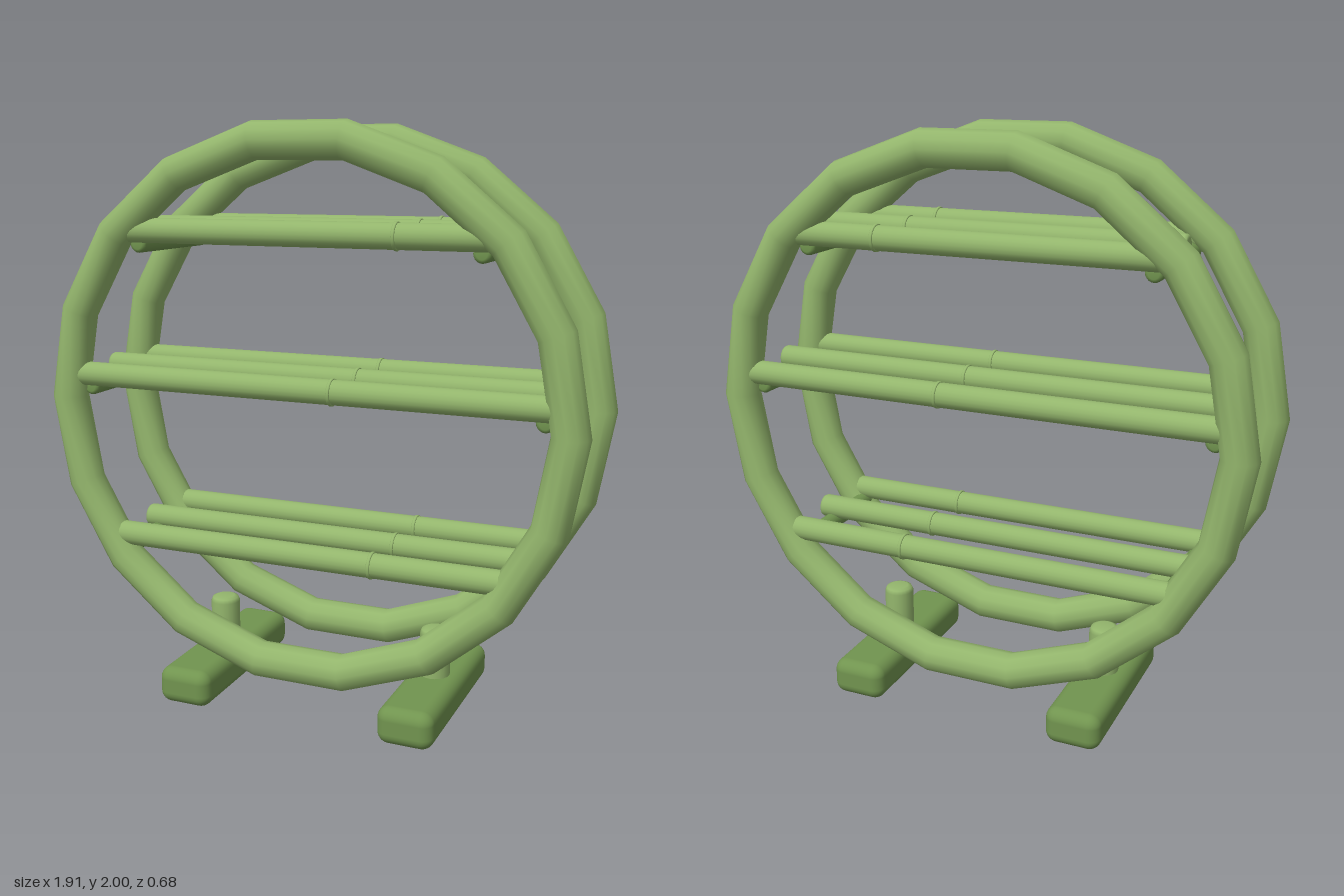
import * as THREE from 'three';
import { RoundedBoxGeometry } from 'three/addons/geometries/RoundedBoxGeometry.js';

const light = new THREE.MeshStandardMaterial({ color: 0x93b56c });
const dark = new THREE.MeshStandardMaterial({ color: 0x71944f });

const RING_Z = 0.2275;

// Closed round rod along y with slightly bevelled ends, centred on its middle
function rodGeometry(radius, length, bevel = 0.012) {
  const h = length / 2;
  const profile = [
    [0, -h], [radius - bevel, -h], [radius - bevel * 0.3, -h + bevel * 0.3], [radius, -h + bevel],
    [radius, h - bevel], [radius - bevel * 0.3, h - bevel * 0.3], [radius - bevel, h], [0, h],
  ].map(([x, y]) => new THREE.Vector2(x, y));
  return new THREE.LatheGeometry(profile, 20);
}

export function createModel() {
  const model = new THREE.Group();
  model.name = 'barrelRack';

  function add(parent, name, geometry, material, x, y, z) {
    const mesh = new THREE.Mesh(geometry, material);
    mesh.name = name;
    mesh.position.set(x, y, z);
    parent.add(mesh);
    return mesh;
  }

  // Two upright hoops, 18 straight segments each
  const hoop = new THREE.TorusGeometry(0.892, 0.0625, 12, 18);
  add(model, 'frontHoop', hoop, light, 0, 1.06, RING_Z);
  add(model, 'backHoop', hoop, light, 0, 1.06, -RING_Z);

  // Shelves: three long bars resting on two cross rods
  const shelves = [
    { name: 'lowerShelf', y: 0.575, rodX: 0.67, half: 0.72, collarX: 0.257 },
    { name: 'middleShelf', y: 1.143, rodX: 0.81, half: 0.86, collarX: 0.115 },
    { name: 'upperShelf', y: 1.647, rodX: 0.6, half: 0.645, collarX: 0.33 },
  ];
  const crossRod = rodGeometry(0.03, 2 * RING_Z).rotateX(Math.PI / 2);
  const collar = rodGeometry(0.046, 0.012, 0.003).rotateZ(Math.PI / 2);

  for (const s of shelves) {
    const shelf = new THREE.Group();
    shelf.name = s.name;
    model.add(shelf);
    const bar = rodGeometry(0.042, 2 * s.half).rotateZ(Math.PI / 2);
    for (const z of [-RING_Z, 0, RING_Z]) {
      add(shelf, 'bar', bar, light, 0, s.y, z);
      add(shelf, 'barCollar', collar, light, s.collarX, s.y, z);
    }
    for (const side of [-1, 1]) {
      add(shelf, 'crossRod', crossRod, dark, side * s.rodX, s.y - 0.047, 0);
    }
  }

  // Feet with a short post each
  const foot = new RoundedBoxGeometry(0.195, 0.13, 0.68, 4, 0.042);
  const post = rodGeometry(0.053, 0.24, 0.02);
  for (const side of [-1, 1]) {
    add(model, side > 0 ? 'leftFoot' : 'rightFoot', foot, dark, side * 0.408, 0.065, 0);
    add(model, side > 0 ? 'leftPost' : 'rightPost', post, light, side * 0.408, 0.18, 0);
  }

  return model;
}
